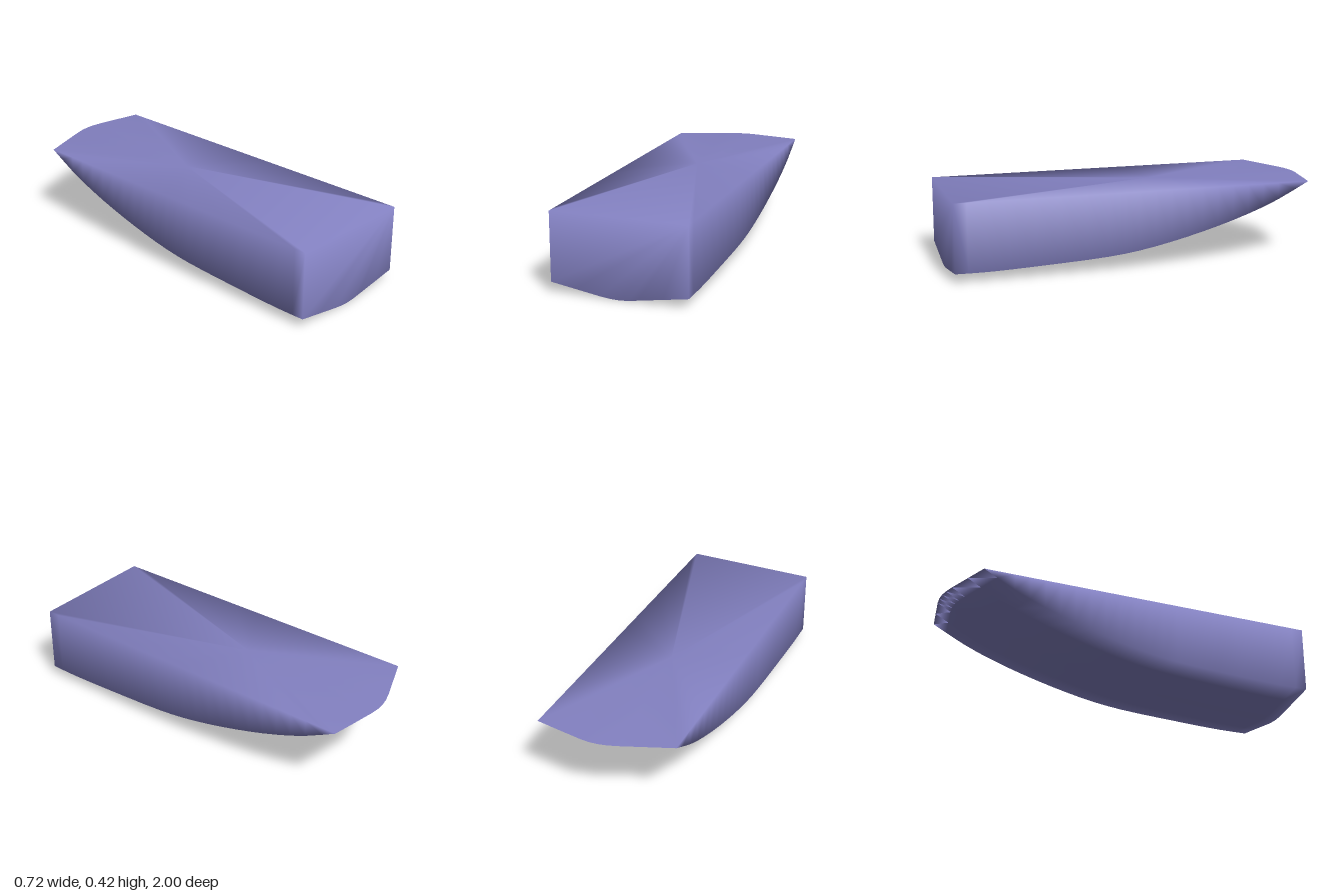
import * as THREE from 'three';

// Columns across the hull: [x, rise of the bottom above the keel, z of the bow edge]
const COLUMNS = [
  [-0.36, 0.053, -0.87], [-0.23, 0.031, -0.92], [-0.1, 0.009, -0.97], [-0.045, 0.002, -0.988],
  [0, 0, -0.997], [0.05, 0.003, -1], [0.1, 0.011, -0.995], [0.23, 0.031, -0.973], [0.36, 0.051, -0.95],
];
const TOP = 0.417;
const ROWS = 20;

// Keel line from the transom to the bow, as [z, y]
const KEEL = new THREE.SplineCurve([
  [1, 0], [0.8, 0.004], [0.5, 0.023], [0.2, 0.046], [0, 0.073], [-0.2, 0.116],
  [-0.4, 0.17], [-0.6, 0.234], [-0.8, 0.313], [-1, TOP],
].map(([z, y]) => new THREE.Vector2(z, y)));

function hullGeometry() {
  const positions = [];
  const index = [];
  const add = (x, y, z) => positions.push(x, y, z) / 3 - 1;
  const quad = (a, b, c, d) => index.push(a, b, c, a, c, d);
  const last = COLUMNS.length - 1;

  // Bottom: the keel line swept over the columns, closing on the bow edge
  const bottom = [];
  for (let j = 0; j <= ROWS; j++) {
    const p = KEEL.getPoint(j / ROWS);
    const t = (1 - p.x) / 2;
    bottom.push(COLUMNS.map(([x, rise, end]) =>
      add(x, Math.min(TOP, p.y + rise * (1 - t)), 1 + (end - 1) * t)));
  }
  for (let j = 0; j < ROWS; j++) {
    for (let i = 0; i < last; i++) {
      quad(bottom[j][i], bottom[j + 1][i], bottom[j + 1][i + 1], bottom[j][i + 1]);
    }
  }

  // Gunwales: straight above each side edge, meeting the bottom at the bow
  const gunwale = (i) => bottom.map((row, j) =>
    j === ROWS ? row[i] : add(COLUMNS[i][0], TOP, positions[row[i] * 3 + 2]));
  const left = gunwale(0);
  const right = gunwale(last);

  // Upright sides
  for (let j = 0; j < ROWS; j++) {
    const [a, b] = [bottom[j], bottom[j + 1]];
    index.push(a[0], left[j], b[0], a[last], b[last], right[j]);
    if (j < ROWS - 1) {
      index.push(left[j], left[j + 1], b[0], right[j], b[last], right[j + 1]);
    }
  }

  // Flat transom
  const transom = [left[0], ...bottom[0]];
  for (let i = 0; i < transom.length - 1; i++) {
    index.push(right[0], transom[i], transom[i + 1]);
  }

  // Flat deck fanned from its middle
  const rim = [...right, ...bottom[ROWS].slice(1, last).reverse(), ...left.slice().reverse()];
  const middle = add(0, TOP, -0.15);
  rim.forEach((v, k) => index.push(middle, v, rim[(k + 1) % rim.length]));

  const geometry = new THREE.BufferGeometry();
  geometry.setAttribute('position', new THREE.Float32BufferAttribute(positions, 3));
  geometry.setIndex(index);
  geometry.computeVertexNormals();
  return geometry;
}

export function createModel() {
  const group = new THREE.Group();
  group.name = 'boatHull';
  const hull = new THREE.Mesh(hullGeometry(), new THREE.MeshStandardMaterial({ color: 0x8280c0 }));
  hull.name = 'hull';
  group.add(hull);
  return group;
}
